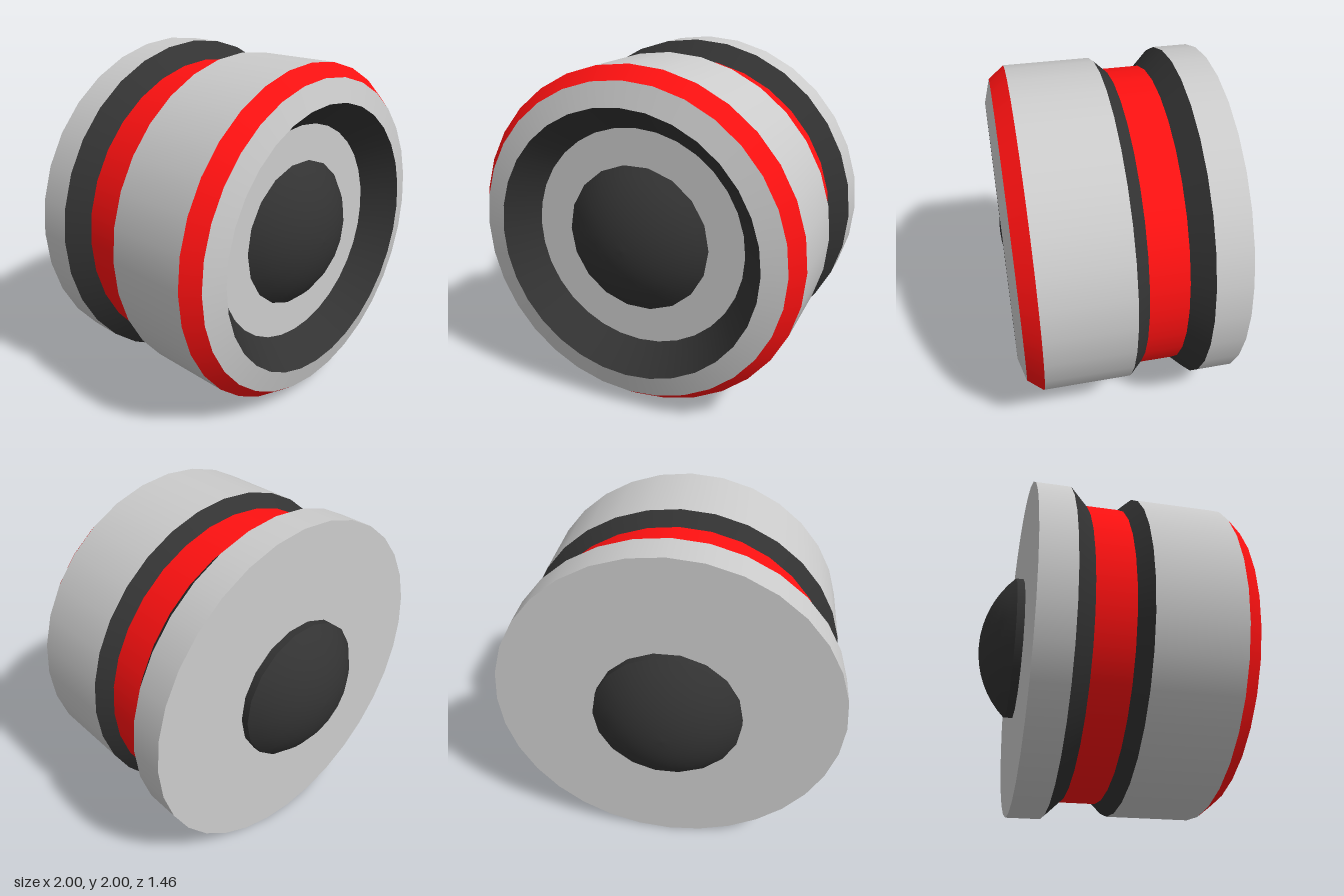
import * as THREE from 'three';

const GREY = 0xcccccc, DARK = 0x333333, RED = 0xff1111;

// Surface of revolution around z; points are [radius, z] listed back to front along the outside
function turned(name, points, color, sides = 32) {
  const geometry = new THREE.LatheGeometry(
    points.map(([r, z]) => new THREE.Vector2(r, z)), sides, Math.PI / 2);
  geometry.rotateX(Math.PI / 2);
  const mesh = new THREE.Mesh(geometry, new THREE.MeshStandardMaterial({ color }));
  mesh.name = name;
  return mesh;
}

// Shallow spherical cap from its rim to its tip, as [radius, height] pairs
function capProfile(radius, height, rows) {
  const R = (radius * radius + height * height) / (2 * height);
  const sweep = Math.asin(radius / R);
  return Array.from({ length: rows + 1 }, (_, i) => {
    const a = sweep * (1 - i / rows);
    return [R * Math.sin(a), R * Math.cos(a) - R + height];
  });
}

export function createModel() {
  const model = new THREE.Group();
  model.name = 'wheel';

  // Each band is its own strip, so the edges between bands stay sharp
  const bands = [
    ['backFace', [0, -0.5], [1, -0.5], GREY],
    ['flange', [1, -0.5], [1, -0.3], GREY],
    ['flangeBevel', [1, -0.3], [0.9, -0.195], DARK],
    ['groove', [0.9, -0.195], [0.9, 0.02], RED],
    ['treadBevel', [0.9, 0.02], [0.97, 0.095], DARK],
    ['tread', [0.97, 0.095], [0.97, 0.59], GREY],
    ['rimStripe', [0.97, 0.59], [0.9, 0.68], RED],
    ['rimFace', [0.9, 0.68], [0.77, 0.717], GREY],
    ['recessWall', [0.77, 0.717], [0.63, 0.54], DARK],
    ['recessFloor', [0.63, 0.54], [0, 0.54], GREY],
  ];
  for (const [name, from, to, color] of bands) model.add(turned(name, [from, to], color));

  // Domed hub caps on the front and the back
  const cap = capProfile(0.425, 0.185, 8);
  model.add(turned('frontHubCap', cap.map(([r, h]) => [r, 0.54 + h]), DARK, 18));
  model.add(turned('backHubCap', cap.map(([r, h]) => [r, -0.545 - h]).reverse(), DARK, 18));
  model.add(turned('backHubCollar', [[0.425, -0.545], [0.425, -0.5]], DARK, 18));

  model.position.y = 1;
  const root = new THREE.Group();
  root.add(model);
  return root;
}
